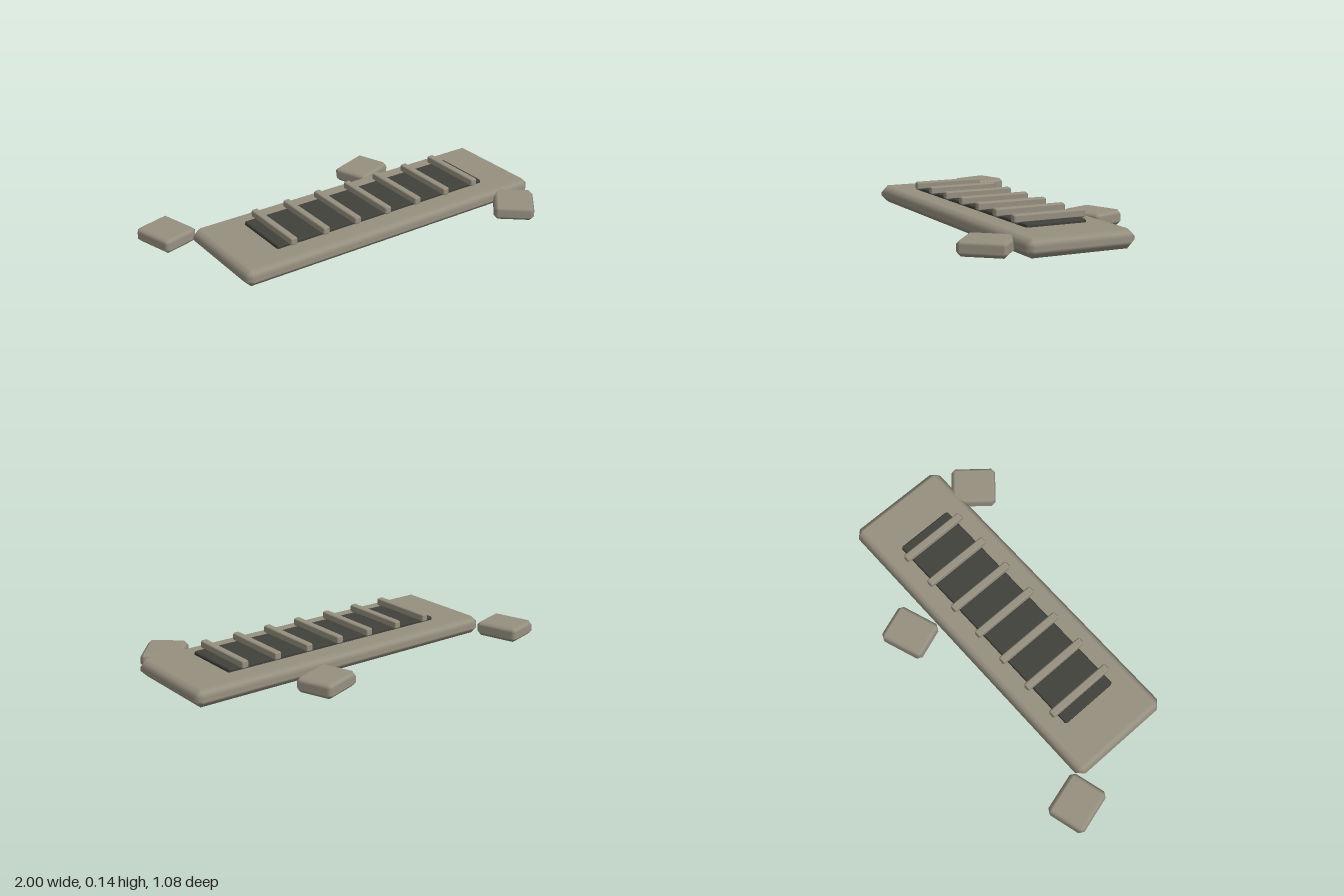
import * as THREE from 'three';

// Box with every edge cut by one chamfer, shaded smoothly across the cut.
function chamferBox(w, h, d, c) {
  const geo = new THREE.BoxGeometry(2, 2, 2, 3, 3, 3);
  const pos = geo.attributes.position, nor = geo.attributes.normal;
  const half = new THREE.Vector3(w / 2 - c, h / 2 - c, d / 2 - c);
  const p = new THREE.Vector3(), dir = new THREE.Vector3();
  for (let i = 0; i < pos.count; i++) {
    p.fromBufferAttribute(pos, i);
    // outer grid lines push outwards, inner grid lines mark the flat faces
    for (const a of ['x', 'y', 'z']) {
      dir[a] = Math.abs(p[a]) > 0.9 ? Math.sign(p[a]) : 0;
      p[a] = Math.sign(p[a]) * half[a];
    }
    p.addScaledVector(dir, c / dir.manhattanLength());
    dir.normalize();
    pos.setXYZ(i, p.x, p.y, p.z);
    nor.setXYZ(i, dir.x, dir.y, dir.z);
  }
  return geo;
}

export function createModel() {
  const model = new THREE.Group();
  model.name = 'stoneGrate';

  const stone = new THREE.MeshStandardMaterial({ color: 0x969080 });
  stone.name = 'stone';
  const dark = new THREE.MeshStandardMaterial({ color: 0x40413a });
  dark.name = 'darkOpening';

  // Adds a chamfered block given its min and max corners
  function block(name, min, max, chamfer, material) {
    const size = max.map((v, i) => v - min[i]);
    const mesh = new THREE.Mesh(chamferBox(...size, chamfer), material);
    mesh.position.set(...max.map((v, i) => (v + min[i]) / 2));
    mesh.name = name;
    model.add(mesh);
    return mesh;
  }

  // Base slab and the dark opening set into it
  block('slab', [-0.79, 0, -0.275], [1, 0.093, 0.295], 0.037, stone);
  block('opening', [-0.547, 0.075, -0.15], [0.75, 0.11, 0.17], 0.008, dark);

  // Seven cross bars
  for (let i = 0; i < 7; i++) {
    const x = -0.468 + i * 0.19;
    block('bar' + (i + 1), [x - 0.02, 0.104, -0.18], [x + 0.02, 0.145, 0.202], 0.008, stone);
  }

  // Loose stones around the slab: x, z, width, depth, turn
  const stones = [
    [-0.873, -0.372, 0.21, 0.24, 0.27],
    [0.369, -0.412, 0.242, 0.206, 0.34],
    [0.789, 0.39, 0.21, 0.24, -0.7],
  ];
  stones.forEach(([x, z, w, d, turn], i) => {
    const mesh = block('looseStone' + (i + 1),
      [x - w / 2, 0, z - d / 2], [x + w / 2, 0.078, z + d / 2], 0.022, stone);
    mesh.rotation.y = turn;
  });

  return model;
}
